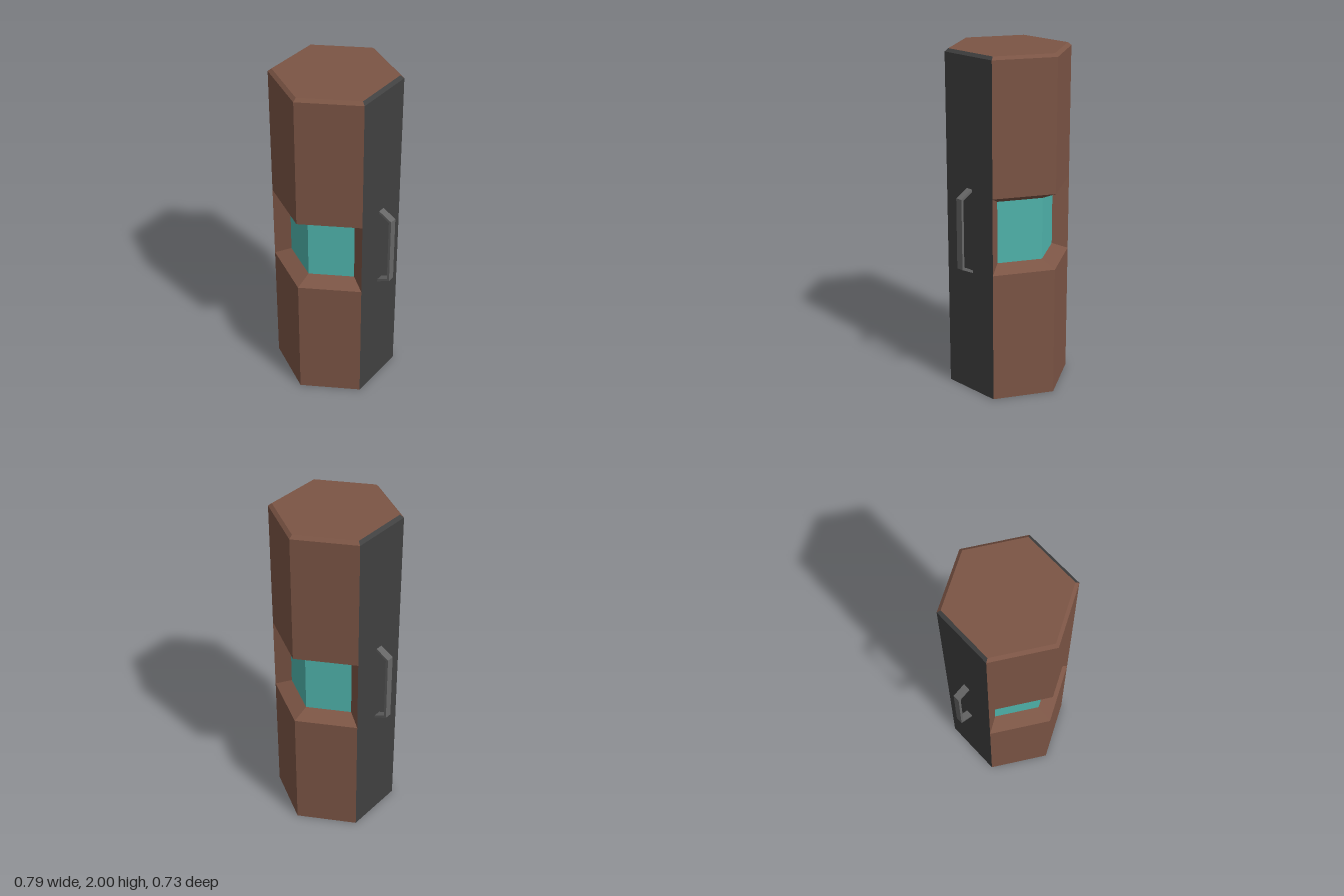
import * as THREE from 'three';

const R = 0.363;        // body corner radius
const R_GLASS = 0.263;  // recessed glass corner radius
const R_TOP = 0.342;    // top face corner radius
const DEG = Math.PI / 180;

export function createModel() {
  const model = new THREE.Group();
  const brown = new THREE.MeshStandardMaterial({ color: 0x7c5545, side: THREE.DoubleSide });
  const darkGrey = new THREE.MeshStandardMaterial({ color: 0x404040 });
  const teal = new THREE.MeshStandardMaterial({ color: 0x50b5ad });
  const handleGrey = new THREE.MeshStandardMaterial({ color: 0x666666 });
  brown.name = 'brown shell';
  darkGrey.name = 'dark grey panel';
  teal.name = 'teal glass';
  handleGrey.name = 'grey handle';

  const add = (name, geometry, material, parent = model) => {
    const mesh = new THREE.Mesh(geometry, material);
    mesh.name = name;
    parent.add(mesh);
    return mesh;
  };

  // Flat-faceted section of the hexagonal prism from [radius, y] points
  const facets = (profile, startDeg, count) => {
    const pts = profile.map(([r, y]) => new THREE.Vector2(r, y));
    const g = new THREE.LatheGeometry(pts, count, startDeg * DEG, count * 60 * DEG).toNonIndexed();
    g.computeVertexNormals();
    return g;
  };

  // Sloped frame side closing the recess at a body corner
  const jambShape = new THREE.Shape([
    [R_GLASS, 0.81], [R, 0.77], [R, 1.22], [R_GLASS, 1.175],
  ].map(([x, y]) => new THREE.Vector2(x, y)));

  // Front and back: lower shell, glass, upper shell, frame sides
  for (const [side, turn] of [['front', 0], ['back', 180]]) {
    const half = new THREE.Group();
    half.name = `${side}Half`;
    half.rotation.y = turn * DEG;
    model.add(half);
    add('lowerShell', facets([[R, 0], [R, 0.77], [R_GLASS, 0.81]], -60, 2), brown, half);
    add('window', facets([[R_GLASS, 0.81], [R_GLASS, 1.175]], -60, 2), teal, half);
    add('upperShell', facets([[R_GLASS, 1.175], [R, 1.22], [R, 1.983], [R_TOP, 2]], -60, 2), brown, half);
    for (const a of [-60, 60]) {
      add('windowFrameSide', new THREE.ShapeGeometry(jambShape), brown, half).rotation.y = (a - 90) * DEG;
    }
  }

  // Hexagonal end faces
  const top = add('topFace', new THREE.CircleGeometry(R_TOP, 6, Math.PI / 2), brown);
  top.rotation.x = -Math.PI / 2;
  top.position.y = 2;
  const bottom = add('bottomFace', new THREE.CircleGeometry(R, 6, Math.PI / 2), brown);
  bottom.rotation.x = Math.PI / 2;

  // Bent flat bar handle outline
  const handleShape = new THREE.Shape([
    [0.312, 1.243], [0.312, 1.227], [0.38, 1.191], [0.38, 0.794],
    [0.312, 0.759], [0.312, 0.743], [0.395, 0.785], [0.395, 1.2],
  ].map(([x, y]) => new THREE.Vector2(x, y)));
  const handleGeometry = new THREE.ExtrudeGeometry(handleShape, { depth: 0.042, bevelEnabled: false });
  handleGeometry.translate(0, 0, -0.021);

  // Dark side panels with handles
  for (const [side, turn] of [['left', 0], ['right', 180]]) {
    const group = new THREE.Group();
    group.name = `${side}Side`;
    group.rotation.y = turn * DEG;
    model.add(group);
    add('sidePanel', facets([[R, 0], [R, 1.983], [R_TOP, 2]], 60, 1), darkGrey, group);
    add('handle', handleGeometry, handleGrey, group);
  }

  return model;
}
